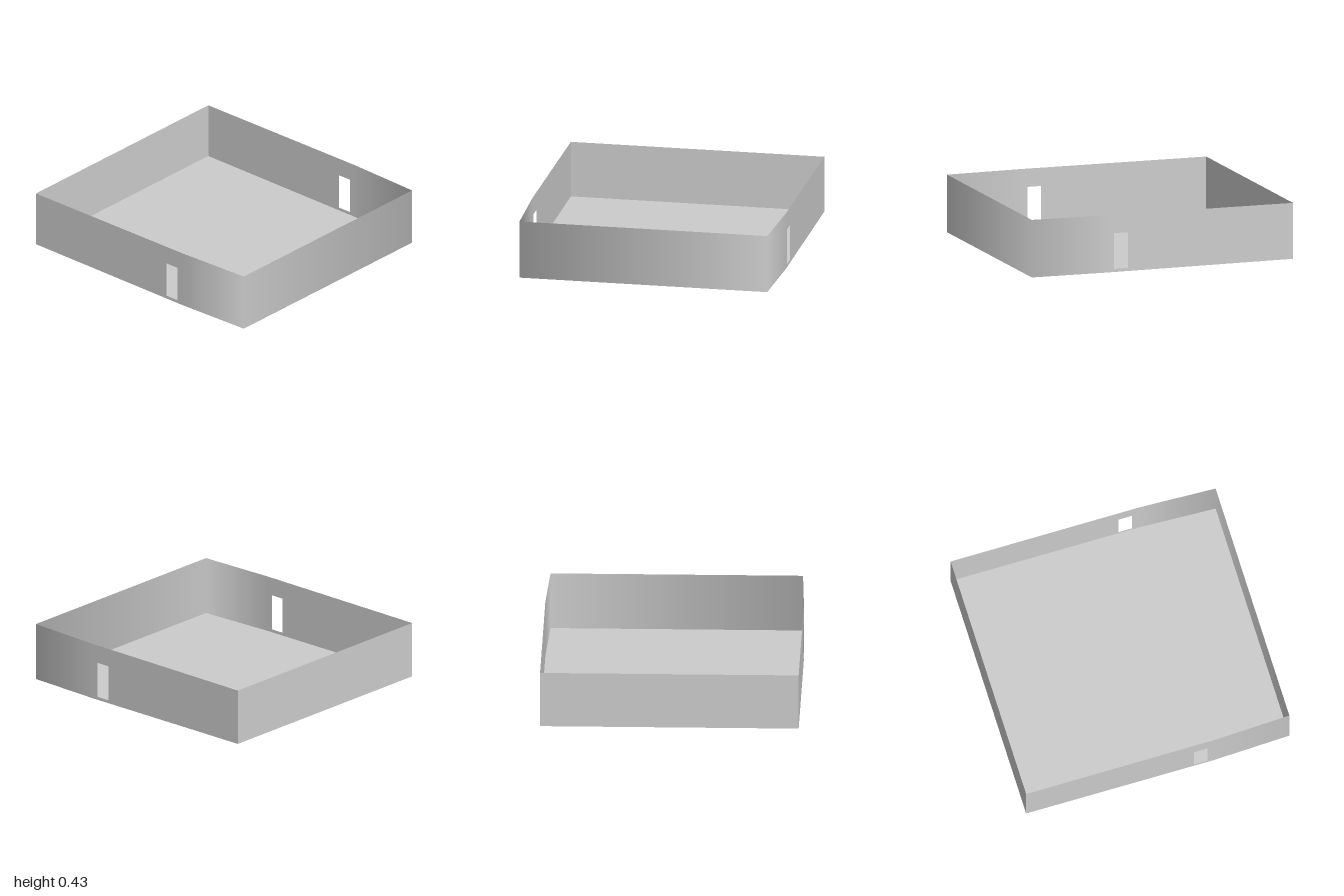
import * as THREE from 'three';

const TOP = 0.425, Z = 0.937, BEND = 0.42, Z_END = 0.915;

// The base drops slightly from left edge (x = -1) to right edge (x = 1)
const baseY = (x) => 0.006 * (1 - x);

// Strip of wall standing on a plan path; each point is [x, z, normalX, normalZ]
function wallStrip(path) {
  const pos = [], nor = [], idx = [];
  path.forEach(([x, z, nx, nz], i) => {
    pos.push(x, baseY(x), z, x, TOP, z);
    nor.push(nx, 0, nz, nx, 0, nz);
    if (i) {
      const a = 2 * i - 2;
      idx.push(a, a + 2, a + 1, a + 1, a + 2, a + 3);
    }
  });
  const geo = new THREE.BufferGeometry();
  geo.setAttribute('position', new THREE.Float32BufferAttribute(pos, 3));
  geo.setAttribute('normal', new THREE.Float32BufferAttribute(nor, 3));
  geo.setIndex(idx);
  return geo;
}

// Straight wall with a door opening, drawn in the xy plane
function doorWall() {
  const shape = new THREE.Shape([
    [-1, baseY(-1)], [BEND, baseY(BEND)], [BEND, TOP], [-1, TOP],
  ].map(([x, y]) => new THREE.Vector2(x, y)));
  shape.holes.push(new THREE.Path([
    [0.27, 0.027], [0.27, 0.29], [0.375, 0.29], [0.375, 0.027],
  ].map(([x, y]) => new THREE.Vector2(x, y))));
  return new THREE.ShapeGeometry(shape);
}

export function createModel() {
  const group = new THREE.Group();
  const material = new THREE.MeshStandardMaterial({ color: 0xcccccc, side: THREE.DoubleSide });
  const add = (name, geo) => {
    const mesh = new THREE.Mesh(geo, material);
    mesh.name = name;
    group.add(mesh);
    return mesh;
  };

  // Front and back walls with matching doorways
  add('frontWall', doorWall()).position.z = Z;
  const back = doorWall();
  back.scale(1, 1, -1); // mirrored in place, then faces turned outward
  const order = back.index.array;
  for (let i = 0; i < order.length; i += 3) {
    [order[i + 1], order[i + 2]] = [order[i + 2], order[i + 1]];
  }
  const n = back.attributes.normal;
  for (let i = 0; i < n.count; i++) n.setXYZ(i, 0, 0, -1);
  add('backWall', back).position.z = -Z;

  // Tapered end, softly shaded around both corners
  const s = Math.SQRT1_2;
  add('taperedEndWall', wallStrip([
    [BEND, Z, 0, 1], [1, Z_END, s, s], [1, -Z_END, s, -s], [BEND, -Z, 0, -1],
  ]));

  // Plain square end
  add('squareEndWall', wallStrip([[-1, -Z, -1, 0], [-1, Z, -1, 0]]));

  // Floor follows the plan outline and the slope of the base
  const outline = [[-1, -Z], [BEND, -Z], [1, -Z_END], [1, Z_END], [BEND, Z], [-1, Z]];
  const floor = new THREE.ShapeGeometry(
    new THREE.Shape(outline.map(([x, z]) => new THREE.Vector2(x, -z))));
  floor.rotateX(-Math.PI / 2);
  const p = floor.attributes.position;
  for (let i = 0; i < p.count; i++) p.setY(i, baseY(p.getX(i)));
  floor.computeVertexNormals();
  add('floor', floor);

  return group;
}
